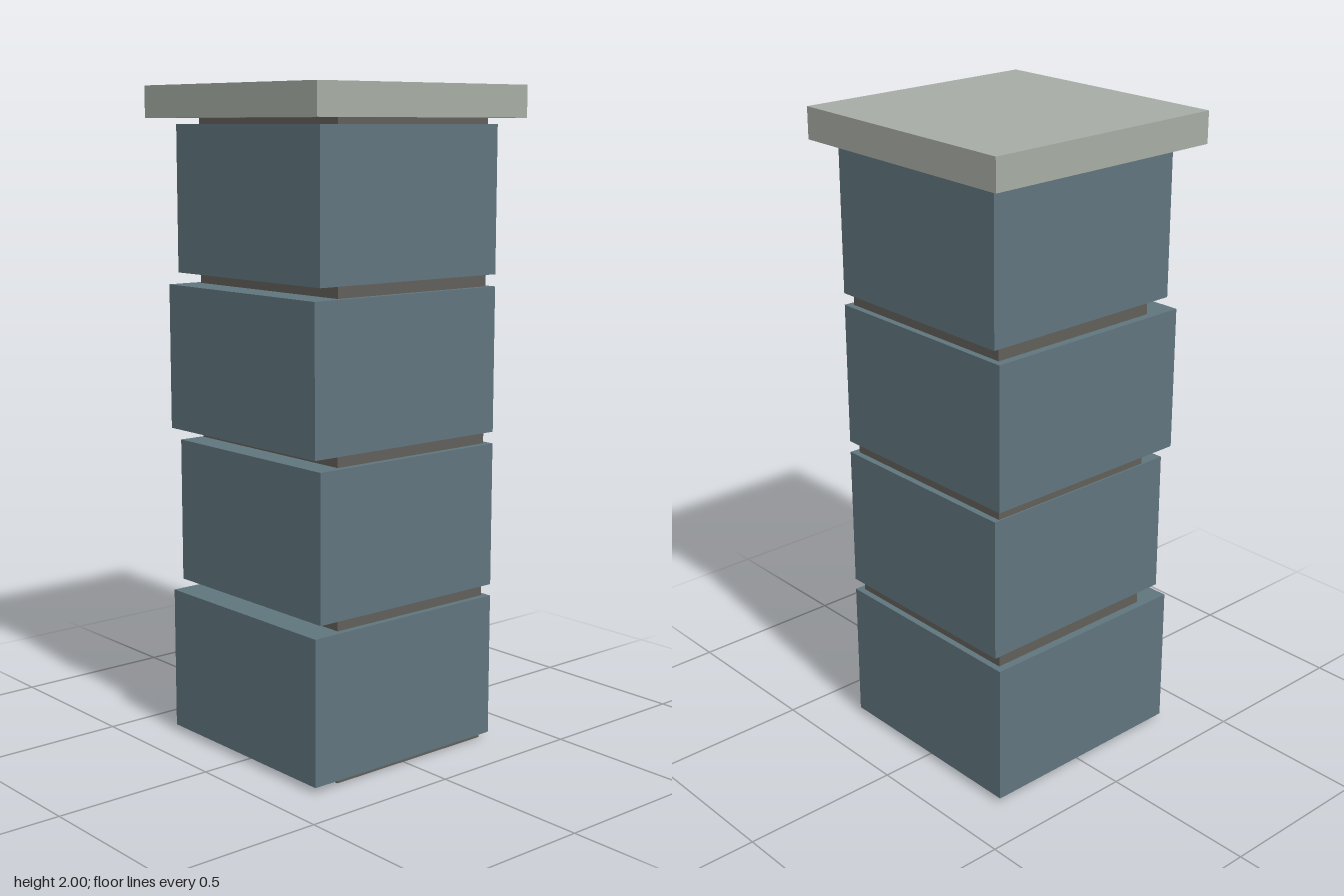
import * as THREE from 'three';

export function createModel() {
  const model = new THREE.Group();
  model.name = 'stonePillar';

  const material = (name, color) => {
    const m = new THREE.MeshStandardMaterial({ color });
    m.name = name;
    return m;
  };
  const blockStone = material('blueGreyStone', 0x60757e);
  const mortar = material('darkMortar', 0x625f5a);
  const capStone = material('paleCapStone', 0xa7ada5);

  // Box given by its lower and upper corners
  const addBox = (name, mat, [x0, y0, z0], [x1, y1, z1]) => {
    const mesh = new THREE.Mesh(new THREE.BoxGeometry(x1 - x0, y1 - y0, z1 - z0), mat);
    mesh.position.set((x0 + x1) / 2, (y0 + y1) / 2, (z0 + z1) / 2);
    mesh.name = name;
    model.add(mesh);
  };

  const capBottom = 1.905;

  // Recessed core showing in the joints
  addBox('mortarCore', mortar, [-0.32, 0, -0.32], [0.32, capBottom, 0.26]);

  // Four courses, alternating wide and narrow
  const courses = 4;
  const pitch = capBottom / courses;
  const joint = 0.018;
  for (let i = 0; i < courses; i++) {
    const wide = i % 2 === 0;
    addBox(`stoneCourse${i + 1}`, blockStone,
      [wide ? -0.345 : -0.325, i * pitch + joint, -0.34],
      [0.34, (i + 1) * pitch - joint, wide ? 0.36 : 0.34]);
  }

  // Overhanging cap slab
  addBox('capSlab', capStone, [-0.4, capBottom, -0.4], [0.4, 2, 0.4]);

  return model;
}
